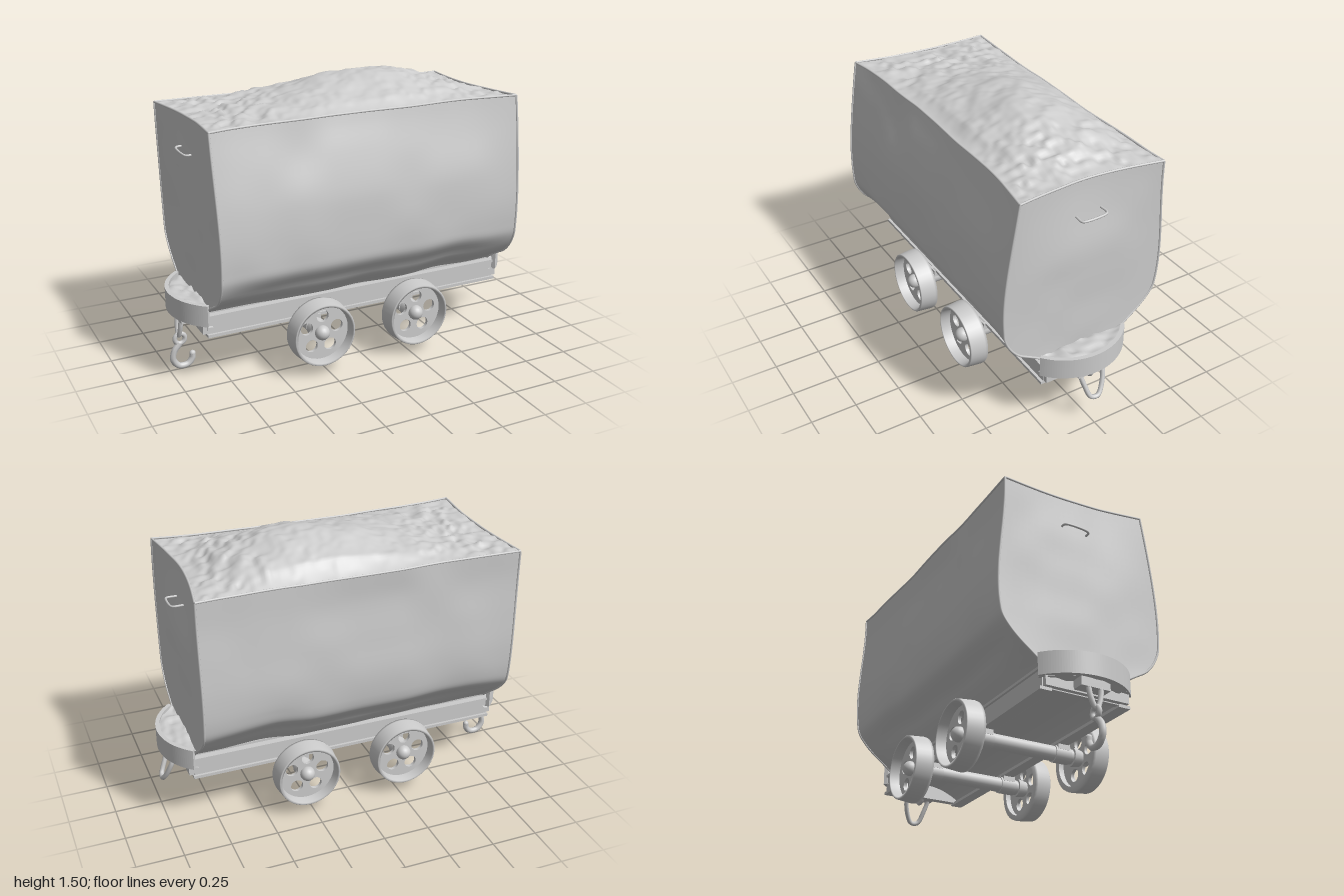
import * as THREE from 'three';

const V = (x, y, z) => new THREE.Vector3(x, y, z);
const mat = new THREE.MeshStandardMaterial({ color: 0xcccccc });
const sheet = new THREE.MeshStandardMaterial({ color: 0xcccccc, side: THREE.DoubleSide });
const { lerp, smoothstep } = THREE.MathUtils;

function add(parent, name, geometry, material = mat) {
  const m = new THREE.Mesh(geometry, material);
  m.name = name;
  parent.add(m);
  return m;
}
function box(parent, name, w, h, d, x, y, z) {
  add(parent, name, new THREE.BoxGeometry(w, h, d)).position.set(x, y, z);
}
function tube(parent, name, pts, r, closed = false) {
  const curve = new THREE.CatmullRomCurve3(pts, closed);
  return add(parent, name, new THREE.TubeGeometry(curve, pts.length * 6, r, 8, closed));
}

// Surface from a rule: f(u, v) gives a point, u and v run 0..1
function surface(nu, nv, f) {
  const pos = [], idx = [];
  for (let i = 0; i <= nu; i++)
    for (let j = 0; j <= nv; j++) pos.push(...f(i / nu, j / nv).toArray());
  for (let i = 0; i < nu; i++)
    for (let j = 0; j < nv; j++) {
      const a = i * (nv + 1) + j, b = a + nv + 1;
      idx.push(a, b, a + 1, b, b + 1, a + 1);
    }
  const g = new THREE.BufferGeometry();
  g.setAttribute('position', new THREE.Float32BufferAttribute(pos, 3));
  g.setIndex(idx);
  g.computeVertexNormals();
  return g;
}

// Smooth repeatable value noise, -1..1
const hash = (i, j) => {
  const s = Math.sin(i * 127.1 + j * 311.7) * 43758.5453;
  return (s - Math.floor(s)) * 2 - 1;
};
function noise(x, y) {
  const i = Math.floor(x), j = Math.floor(y);
  const s = t => t * t * (3 - 2 * t), fx = s(x - i), fy = s(y - j);
  return lerp(lerp(hash(i, j), hash(i + 1, j), fx), lerp(hash(i, j + 1), hash(i + 1, j + 1), fx), fy);
}

// Side profiles of the tub, (z, y) from rim to floor
const FRONT = [[.383, 1.375], [.411, 1.2], [.44, 1], [.456, .82], [.455, .69], [.445, .61], [.388, .513], [.3, .455], [.24, .42], [.2, .385]];
const BACK = [[-.43, 1.35], [-.432, 1.2], [-.447, 1], [-.456, .82], [-.448, .67], [-.428, .595], [-.352, .51], [-.29, .46], [-.24, .42], [-.2, .385]];
const [frontCurve, backCurve] = [FRONT, BACK].map(p =>
  new THREE.CatmullRomCurve3(p.map(([z, y]) => V(0, y, z)), false, 'centripetal'));

function sidePoint(curve, s, v) {
  const p = curve.getPoint(v), side = Math.sign(p.z);
  const mid = 1 - s ** 4, top = smoothstep(p.y, .7, 1.37);
  p.x = s * (.848 + .012 * top) - .004 - (side < 0 ? .01 * top : 0);
  p.z -= side * .012 * mid * smoothstep(p.y, .45, .6);                    // walls pressed in a little
  p.z -= side * .028 * mid * Math.exp(-(((p.y - .53) / .06) ** 2));       // sharper bend along the middle
  if (side > 0) p.z -= .032 * mid * smoothstep(p.y, .95, 1.38);           // front rim bows inward
  p.z += .006 * noise(p.x * 5, p.y * 5) * mid;                            // small dents
  p.y += .012 * noise(p.x * 4 + 9, p.z) * mid * (p.y < .7 ? 1.5 : .3);
  return p;
}

// End walls, pressed in towards the top; u runs front to back, v rim to floor
function endPoint(s, u, v) {
  const p = sidePoint(frontCurve, s, v).lerp(sidePoint(backCurve, s, v), u);
  const mid = Math.sin(Math.PI * u);
  p.x -= s * mid * (.006 + (s > 0 ? .038 : .026) * smoothstep(p.y, .9, 1.38));
  p.x += .004 * mid * noise(p.z * 6, p.y * 6);
  return p;
}

function buildTub(root) {
  const tub = new THREE.Group();
  tub.name = 'tub';
  root.add(tub);
  for (const [curve, name] of [[frontCurve, 'frontWall'], [backCurve, 'backWall']]) {
    add(tub, name, surface(48, 44, (u, v) => sidePoint(curve, u * 2 - 1, v)), sheet);
    for (const s of [-1, 1])
      tube(tub, 'cornerSeam', Array.from({ length: 14 }, (_, i) => sidePoint(curve, s, i / 13)), .006);
    tube(tub, 'rim', Array.from({ length: 17 }, (_, i) => sidePoint(curve, i / 8 - 1, 0)), .006);
  }
  box(tub, 'floor', 1.69, .02, .42, -.004, .39, 0);

  for (const s of [-1, 1]) {
    add(tub, 'endWall', surface(24, 44, (u, v) => endPoint(s, u, v)), sheet);
    tube(tub, 'endRim', Array.from({ length: 11 }, (_, i) => endPoint(s, i / 10, 0)), .006);
    tube(tub, 'handle', [V(s * .82, 1.18, .05), V(s * .87, 1.18, .05), V(s * .88, 1.182, .035),
      V(s * .88, 1.188, -.08), V(s * .87, 1.19, -.09), V(s * .82, 1.19, -.09)], .006);
  }

  // Heaped load, roughest along the ends
  add(tub, 'load', surface(140, 68, (u, v) => {
    const s = u * 2 - 1, z = lerp(sidePoint(backCurve, s, 0).z + .004, sidePoint(frontCurve, s, 0).z - .004, v);
    const x = lerp(endPoint(-1, 1 - v, 0).x + .003, endPoint(1, 1 - v, 0).x - .003, u);
    const edge = Math.min(1, 9 * Math.min(u, 1 - u, v, 1 - v));
    const ridge = Math.exp(-(((x - .2) / (x < .2 ? .6 : .45)) ** 2) - ((z + .08) / .31) ** 2);
    const rough = .01 * noise(x * 11, z * 11) + .022 * noise(x * 28, z * 28) * (.15 + s * s);
    return V(x, lerp(1.35, 1.37, v) + .14 * ridge * edge + rough * (.2 + .8 * edge), z);
  }), sheet);
}

function buildChassis(root) {
  const chassis = new THREE.Group();
  chassis.name = 'chassis';
  root.add(chassis);
  // Arched underside between the rails
  add(chassis, 'underside', surface(1, 16, (u, v) => {
    const t = v * 2 - 1;
    return V((u * 2 - 1) * .85, .285 + .075 * (1 - t * t), t * .22);
  }), sheet);
  for (const s of [-1, 1]) {
    // Channel rail
    box(chassis, 'railWeb', 1.72, .11, .02, 0, .33, s * .225);
    box(chassis, 'railTopFlange', 1.72, .014, .05, 0, .38, s * .222);
    box(chassis, 'railBottomFlange', 1.73, .016, .065, 0, .277, s * .217);
    // Cross beam and buffer at each end
    box(chassis, 'crossBeam', .03, .1, .44, s * .845, .33, 0);
    box(chassis, 'bufferBracket', .05, .05, .46, s * .86, .31, 0);
    box(chassis, 'couplingBracket', .09, .045, .16, s * .905, .315, 0);
    const R = .33, a = .9;
    const arc = new THREE.Shape();
    arc.absarc(0, 0, R, -a, a, false);
    arc.absarc(0, 0, R - .022, a, -a, true);
    const wall = add(chassis, 'buffer', new THREE.ExtrudeGeometry(arc, { depth: .115, bevelEnabled: false, curveSegments: 24 }));
    wall.rotation.set(-Math.PI / 2, 0, s > 0 ? 0 : Math.PI);
    wall.position.set(s * .66, .333, 0);
    // Dirt lying in the buffer and its rough underside
    for (const [name, y, amp] of [['bufferFill', .435, .013], ['bufferUnderside', .335, .012]])
      add(chassis, name, surface(28, 12, (u, v) => {
        const t = (u * 2 - 1) * a, z = Math.sin(t) * (R - .01);
        const x = lerp(.835, .66 + Math.cos(t) * (R - .01), v);
        return V(s * x, y + amp * noise(x * 28 + s, z * 24), z);
      }), sheet);
  }
}

function buildWheel(parent, x, s) {
  const wheel = new THREE.Group();
  wheel.name = 'wheel';
  wheel.position.set(x, .227, s > 0 ? .363 : -.353);
  if (s < 0) wheel.rotation.y = Math.PI;
  parent.add(wheel);
  const rim = [[.15, -.05], [.178, -.05], [.18, -.035], [.172, .046], [.168, .05], [.158, .05], [.15, -.02], [.15, -.05]]
    .map(([r, y]) => new THREE.Vector2(r, y));
  add(wheel, 'rim', new THREE.LatheGeometry(rim, 40).rotateX(Math.PI / 2), sheet);
  // Recessed web disc with five round openings
  const web = new THREE.Shape().absarc(0, 0, .153, 0, Math.PI * 2);
  for (let i = 0; i < 5; i++) {
    const a = i * Math.PI * .4 + .25;
    web.holes.push(new THREE.Path().absarc(Math.cos(a) * .09, Math.sin(a) * .09, .034, 0, Math.PI * 2, true));
  }
  add(wheel, 'web', new THREE.ExtrudeGeometry(web, { depth: .018, bevelEnabled: false, curveSegments: 20 })).position.z = -.02;
  add(wheel, 'hub', new THREE.CylinderGeometry(.036, .052, .09, 20).rotateX(Math.PI / 2)).position.z = -.03;
  add(wheel, 'hubCap', new THREE.SphereGeometry(.04, 20, 12)).position.z = .006;
}

function buildRunningGear(root) {
  for (const x of [-.283, .278]) {
    const set = new THREE.Group();
    set.name = 'wheelSet';
    root.add(set);
    add(set, 'axle', new THREE.CylinderGeometry(.04, .04, .66, 20).rotateX(Math.PI / 2)).position.set(x, .227, 0);
    for (const s of [-1, 1]) {
      add(set, 'bearing', new THREE.CylinderGeometry(.046, .046, .09, 20).rotateX(Math.PI / 2)).position.set(x, .227, s * .225);
      box(set, 'bearingBlock', .09, .04, .07, x, .262, s * .225);
      buildWheel(set, x, s);
    }
  }
}

function buildCouplings(root) {
  const g = new THREE.Group();
  g.name = 'couplings';
  root.add(g);
  // Hanging hook on the right
  tube(g, 'hookLink', [V(-.935, .335, .025), V(-.94, .26, .03), V(-.945, .19, 0), V(-.94, .26, -.03), V(-.935, .335, -.025)], .013, true);
  add(g, 'hookEye', new THREE.TorusGeometry(.028, .013, 8, 18)).position.set(-.938, .175, 0);
  tube(g, 'hook', [V(-.94, .15, .004), V(-.972, .11, .003), V(-.98, .06, .002), V(-.95, .02, 0), V(-.9, .02, 0), V(-.875, .05, 0), V(-.873, .075, 0)], .017);
  add(g, 'hookTip', new THREE.SphereGeometry(.017, 10, 8)).position.set(-.873, .075, 0);
  // Long link on the left
  tube(g, 'longLink', [V(.91, .335, .03), V(.93, .3, .055), V(.955, .23, .042), V(.98, .17, .018), V(.985, .165, -.02),
    V(.97, .2, -.05), V(.935, .29, -.075), V(.91, .335, -.05)], .013, true);
  add(g, 'linkRing', new THREE.TorusGeometry(.032, .013, 8, 18)).position.set(.915, .305, 0);
}

export function createModel() {
  const root = new THREE.Group();
  root.name = 'mineCart';
  buildTub(root);
  buildChassis(root);
  buildRunningGear(root);
  buildCouplings(root);
  return root;
}
